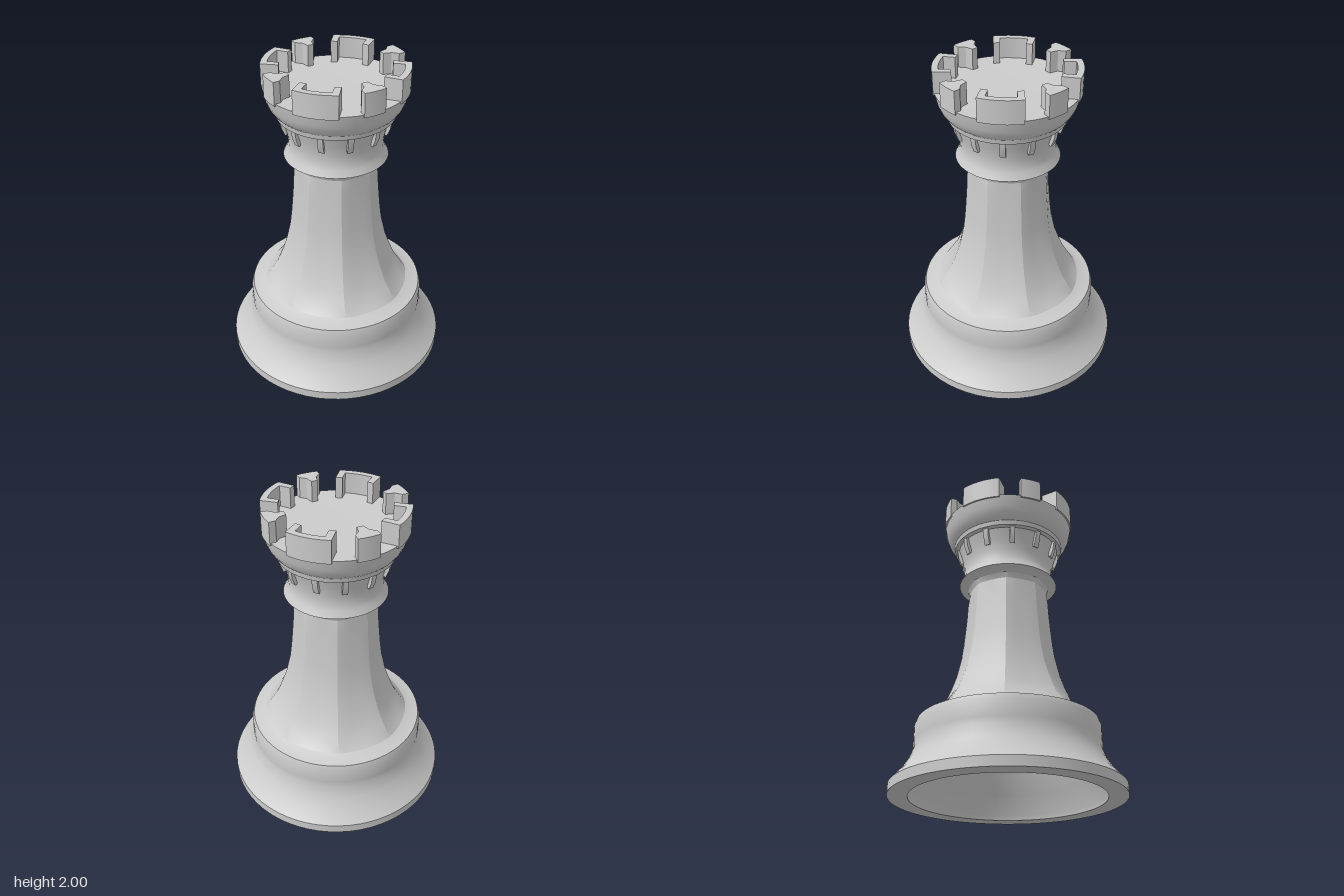
import * as THREE from 'three';
import { toCreasedNormals } from 'three/addons/utils/BufferGeometryUtils.js';

const material = new THREE.MeshStandardMaterial({ color: 0xcccccc });
const DEG = Math.PI / 180;

function addMesh(group, name, geometry, crease = 0.55) {
  const mesh = new THREE.Mesh(toCreasedNormals(geometry, crease), material);
  mesh.name = name;
  group.add(mesh);
  return mesh;
}

// Profile of [radius, height] pairs turned around the y axis
function turned(profile, segments = 48) {
  return new THREE.LatheGeometry(profile.map(([r, y]) => new THREE.Vector2(r, y)), segments);
}

// Outline of [radius, degrees] pairs, extruded upwards from y = base
function sector(outline, base, height) {
  const points = outline.map(([r, a]) => new THREE.Vector2(r * Math.cos(a * DEG), r * Math.sin(a * DEG)));
  const geometry = new THREE.ExtrudeGeometry(new THREE.Shape(points), { depth: height, bevelEnabled: false });
  return geometry.rotateX(-Math.PI / 2).translate(0, base, 0);
}

function arc(radius, from, to, steps) {
  return Array.from({ length: steps + 1 }, (_, i) => [radius, from + (to - from) * i / steps]);
}

// Eight shallow concave panels meeting in sharp vertical ridges
function flute(geometry) {
  const p = geometry.attributes.position;
  for (let i = 0; i < p.count; i++) {
    const x = p.getX(i), y = p.getY(i), z = p.getZ(i);
    const ridge = 1 - Math.abs(Math.cos(4 * Math.atan2(z, x)));
    const fade = THREE.MathUtils.smoothstep(1.42 - y, 0, 0.12) * THREE.MathUtils.smoothstep(y, 0.455, 0.54);
    const scale = 1 + 0.065 * fade * ridge;
    p.setXYZ(i, x * scale, y, z * scale);
  }
  return geometry;
}

export function createModel() {
  const rook = new THREE.Group();
  rook.name = 'rook';

  // Hollow base: inner wall down, rim, then the outside up to the ledge
  addMesh(rook, 'base', turned([
    [0, 0.9], [0.1, 0.86], [0.2, 0.75], [0.28, 0.62], [0.37, 0.48], [0.45, 0.37], [0.485, 0.27],
    [0.53, 0.15], [0.585, 0.03], [0.59, 0],
    [0.71, 0], [0.71, 0.06], [0.695, 0.075], [0.645, 0.13], [0.6, 0.2], [0.57, 0.28],
    [0.572, 0.32], [0.572, 0.42], [0.56, 0.455], [0.4, 0.457],
  ], 64));

  // Flared, fluted shaft flowing into the ledge
  addMesh(rook, 'shaft', flute(turned([
    [0.56, 0.455], [0.51, 0.464], [0.47, 0.48], [0.437, 0.51], [0.4, 0.56], [0.37, 0.61],
    [0.335, 0.7], [0.308, 0.78], [0.28, 0.91], [0.269, 1.0], [0.26, 1.1], [0.252, 1.2],
    [0.247, 1.3], [0.246, 1.36], [0.265, 1.4], [0.28, 1.42],
  ], 64)), 0.3);

  // Collar, neck and cornice up to the battlement floor
  addMesh(rook, 'head', turned([
    [0.24, 1.37], [0.265, 1.395], [0.322, 1.42], [0.302, 1.458], [0.291, 1.49], [0.293, 1.55],
    [0.31, 1.62], [0.332, 1.685], [0.358, 1.69], [0.364, 1.72], [0.38, 1.735], [0.4, 1.765],
    [0.415, 1.8], [0.43, 1.87], [0.3, 1.866], [0, 1.865],
  ]));

  // Small corbels hanging under the cornice
  for (let i = 0; i < 12; i++) {
    const corbel = new THREE.Shape([
      [0.28, 1.6], [0.316, 1.58], [0.336, 1.63], [0.346, 1.695], [0.28, 1.695],
    ].map(([x, y]) => new THREE.Vector2(x, y)));
    const geometry = new THREE.ExtrudeGeometry(corbel, { depth: 0.034, bevelEnabled: false });
    geometry.translate(0, 0, -0.017);
    addMesh(rook, 'corbel', geometry).rotation.y = (15 + 30 * i) * DEG;
  }

  // Battlements: wide merlons on the diagonals, narrow pointed ones between
  const wide = [
    ...arc(0.436, 27.5, 62.5, 8), [0.33, 66], [0.327, 59],
    ...arc(0.397, 57.5, 32.5, 6), [0.327, 31], [0.33, 24],
  ];
  const narrow = [...arc(0.436, -9, 9, 4), [0.395, 9.5], [0.36, 5], [0.31, 3.5], [0.31, -3.5], [0.36, -5], [0.395, -9.5]];
  for (let i = 0; i < 4; i++) {
    addMesh(rook, 'wideMerlon', sector(wide, 1.855, 0.145)).rotation.y = i * Math.PI / 2;
    addMesh(rook, 'narrowMerlon', sector(narrow, 1.855, 0.145)).rotation.y = i * Math.PI / 2;
  }

  return rook;
}
